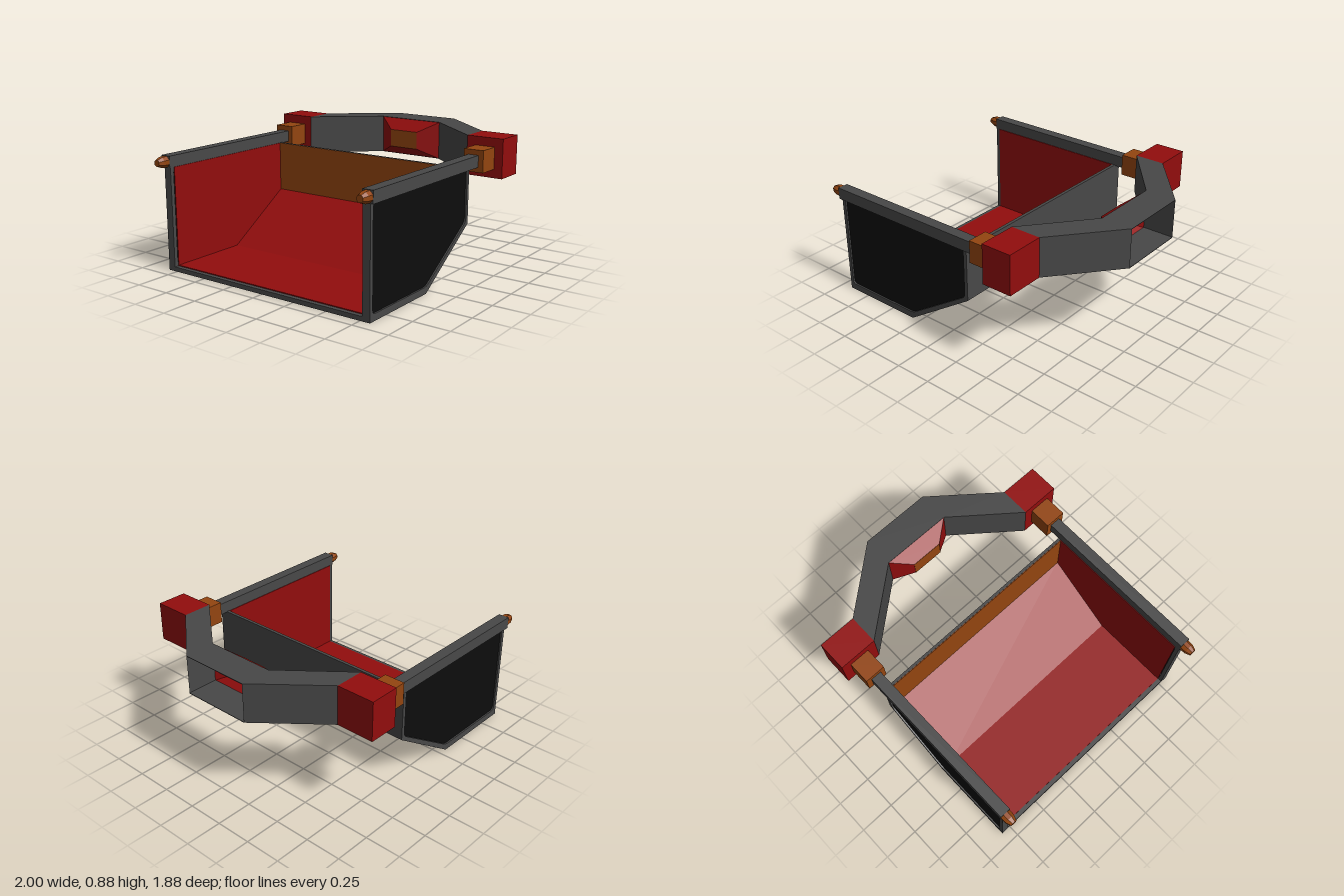
import * as THREE from 'three';

const material = (name, color, side = THREE.FrontSide) => {
  const m = new THREE.MeshStandardMaterial({ color, side, flatShading: true });
  m.name = name;
  return m;
};

export function createModel() {
  const model = new THREE.Group();
  model.name = 'bucketAttachment';
  const grey = material('steelGrey', 0x484848);
  const black = material('panelBlack', 0x0d0d0d);
  const red = material('deepRed', 0x920d0d, THREE.DoubleSide);
  const orange = material('burntOrange', 0x934510);

  const add = (name, geometry, mat) => {
    const mesh = new THREE.Mesh(geometry, mat);
    mesh.name = name;
    model.add(mesh);
    return mesh;
  };
  // Box given by its limits on each axis
  const box = (name, mat, x0, x1, y0, y1, z0, z1) =>
    add(name, new THREE.BoxGeometry(x1 - x0, y1 - y0, z1 - z0), mat)
      .position.set((x0 + x1) / 2, (y0 + y1) / 2, (z0 + z1) / 2);
  const outline = (pts) => new THREE.Shape(pts.map((p) => new THREE.Vector2(...p)));
  const slab = (shape, z0, z1) =>
    new THREE.ExtrudeGeometry(shape, { depth: z1 - z0, bevelEnabled: false, curveSegments: 4 })
      .translate(0, 0, z0);
  // Polygon with its corners rounded
  const rounded = (pts, r) => {
    const v = pts.map((p) => new THREE.Vector2(...p));
    const shape = new THREE.Shape();
    v.forEach((p, i) => {
      const toward = (q) => p.clone().add(q.clone().sub(p).setLength(r));
      const a = toward(v[(i + v.length - 1) % v.length]);
      const b = toward(v[(i + 1) % v.length]);
      if (i === 0) shape.moveTo(a.x, a.y);
      else shape.lineTo(a.x, a.y);
      shape.quadraticCurveTo(p.x, p.y, b.x, b.y);
    });
    shape.closePath();
    return shape;
  };

  // Bucket shell: floor, slope and upright wall
  add('bucketShell', slab(outline([[-0.92, 0], [-0.31, 0], [0.2, 0.34], [0.2, 0.71],
    [0.18, 0.71], [0.18, 0.355], [-0.32, 0.03], [-0.92, 0.03]]), -0.77, 0.77), grey);
  add('floorLining', slab(outline([[-0.89, 0.03], [-0.32, 0.03], [0.18, 0.355],
    [0.18, 0.361], [-0.322, 0.036], [-0.89, 0.036]]), -0.765, 0.765), red);
  box('wallLining', orange, 0.175, 0.18, 0.358, 0.708, -0.765, 0.765);

  const inset = [[-0.893, 0.045], [-0.305, 0.045], [0.175, 0.357], [0.175, 0.703], [-0.893, 0.703]];
  for (const s of [-1, 1]) {
    const range = (a, b) => (s > 0 ? [a, b] : [-b, -a]);
    const side = s > 0 ? 'front' : 'back';

    // Side plate: frame, inset panel and inner lining
    const frame = outline([[-0.92, 0], [-0.31, 0], [0.2, 0.34], [0.2, 0.71], [-0.92, 0.71]]);
    frame.holes.push(rounded(inset, 0.03));
    add(side + 'SideFrame', slab(frame, ...range(0.766, 0.82)), grey);
    add(side + 'SidePanel', slab(rounded(inset, 0.03), ...range(0.8, 0.809)), black);
    add(side + 'SideLining', slab(outline([[-0.89, 0.03], [-0.32, 0.03], [0.18, 0.355],
      [0.18, 0.708], [-0.89, 0.708]]), ...range(0.761, 0.766)), red);

    // Rail with faceted tip, collar and corner block
    box(side + 'Rail', grey, -0.925, 0.29, 0.705, 0.785, ...range(0.766, 0.841));
    [[0.04, 0.038, -0.965, -0.92], [0.038, 0.024, -1, -0.965]].forEach(([r0, r1, x0, x1]) => {
      const tip = new THREE.CylinderGeometry(r1, r0, x1 - x0, 8)
        .rotateY(Math.PI / 8).rotateZ(Math.PI / 2);
      add(side + 'RailTip', tip, orange).position.set((x0 + x1) / 2, 0.745, s * 0.804);
    });
    box(side + 'Collar', orange, 0.28, 0.44, 0.67, 0.82, ...range(0.733, 0.877));
    box(side + 'CornerBlock', red, 0.435, 0.645, 0.61, 0.88, ...range(0.672, 0.938));

    // Slanting arm
    const arm = outline([[0.435, s * 0.672], [0.645, s * 0.672], [1, s * 0.245], [0.785, s * 0.245]]);
    add(side + 'Arm', slab(arm, 0, 0.27).rotateX(Math.PI / 2).translate(0, 0.88, 0), grey);
  }

  // Hollow bridge between the arms
  box('bridgeTop', grey, 0.785, 1, 0.876, 0.88, -0.245, 0.245);
  box('bridgeBottom', grey, 0.785, 1, 0.61, 0.614, -0.245, 0.245);

  // Tapered socket behind the bridge opening, closed by an end plate
  const loop = (x, y0, y1, z) => [[x, y0, z], [x, y0, -z], [x, y1, -z], [x, y1, z]];
  const wide = loop(0.785, 0.612, 0.878, 0.245);
  const narrow = loop(0.69, 0.68, 0.805, 0.112);
  const corners = [];
  for (let i = 0; i < 4; i++) {
    const j = (i + 1) % 4;
    corners.push(wide[i], narrow[j], narrow[i], wide[i], wide[j], narrow[j]);
  }
  const socket = new THREE.BufferGeometry();
  socket.setAttribute('position', new THREE.Float32BufferAttribute(corners.flat(), 3));
  socket.computeVertexNormals();
  add('socketSides', socket, red);
  box('socketEnd', orange, 0.688, 0.693, 0.68, 0.805, -0.112, 0.112);

  return model;
}
